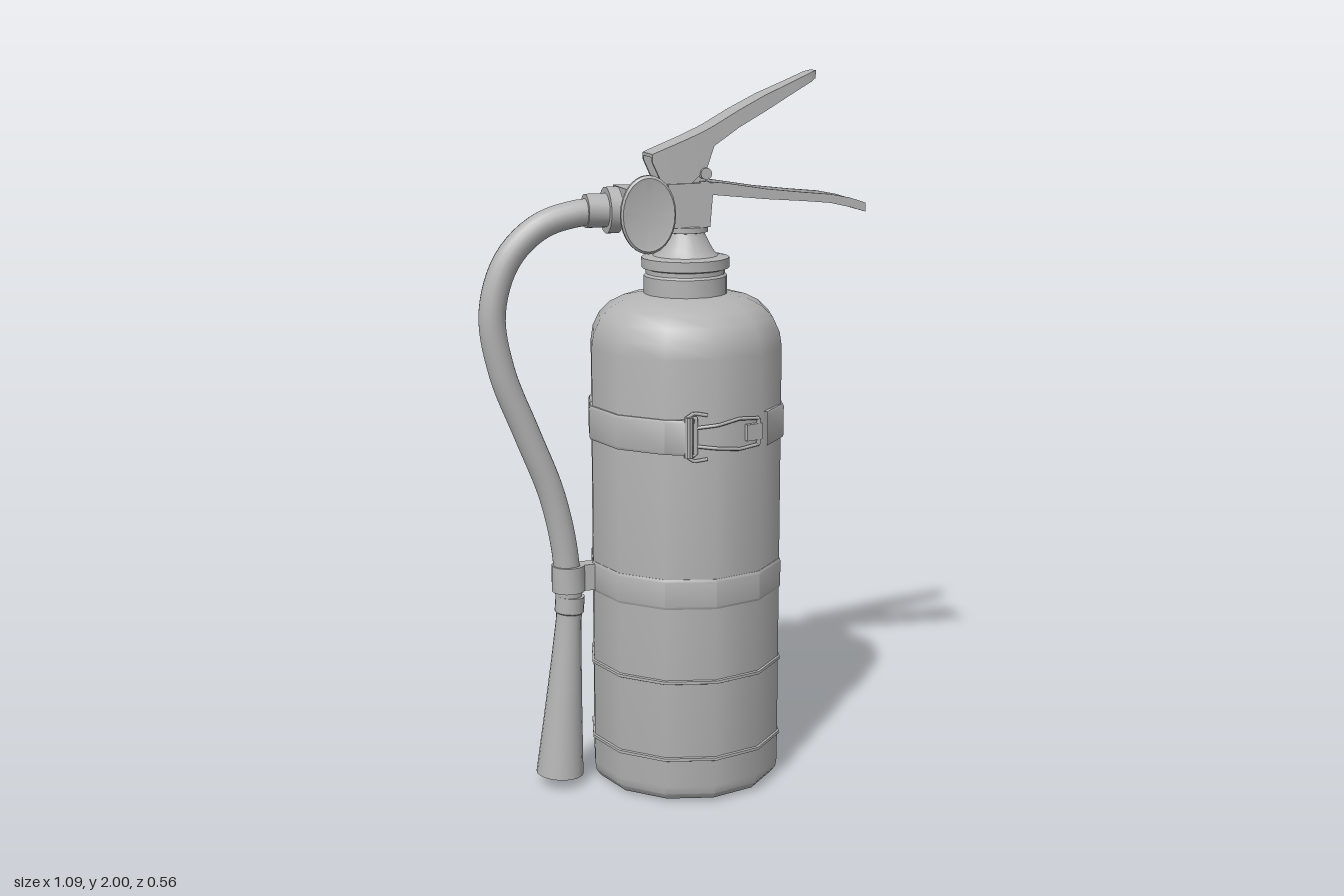
import * as THREE from 'three';
import { toCreasedNormals } from 'three/addons/utils/BufferGeometryUtils.js';

const AXIS = 0.033; // x of the tank's centre line
const SIDES = 12;
const rad = THREE.MathUtils.degToRad;

export function createModel() {
  const root = new THREE.Group();
  root.name = 'fireExtinguisher';
  const grey = new THREE.MeshStandardMaterial({ color: 0xb4b4b4 });
  grey.name = 'plain grey';

  const add = (name, geometry, x = 0, y = 0, z = 0, parent = root) => {
    const mesh = new THREE.Mesh(geometry, grey);
    mesh.name = name;
    mesh.position.set(x, y, z);
    parent.add(mesh);
    return mesh;
  };
  const crease = (g, angle = 0.62) => toCreasedNormals(g, angle);
  const lathe = (pts, sides = SIDES, start = 0, sweep = 360) => crease(new THREE.LatheGeometry(
    pts.map(([r, y]) => new THREE.Vector2(r, y)), sides, rad(start), rad(sweep)));
  const box = (w, h, d) => new THREE.BoxGeometry(w, h, d);
  const cyl = (r, h, sides = 20) => crease(new THREE.CylinderGeometry(r, r, h, sides));
  const wire = (pts, r, closed = false) => {
    const path = new THREE.CurvePath();
    const v = pts.map(p => new THREE.Vector3(...p));
    if (closed) v.push(v[0]);
    for (let i = 1; i < v.length; i++) path.add(new THREE.LineCurve3(v[i - 1], v[i]));
    return new THREE.TubeGeometry(path, (v.length - 1) * 4, r, 6);
  };

  // Pressed channel along x; stations are [x, spine y, rim y, half width]
  const channel = (stations, t) => {
    const pos = [], idx = [], n = 8;
    for (const [x, base, rim, w] of stations) {
      const s = Math.sign(base - rim), a = s * w, b = s * (w - t), inner = base - s * t;
      [[rim, -a], [base, -a], [base, a], [rim, a], [rim, b], [inner, b], [inner, -b], [rim, -b]]
        .forEach(([y, z]) => pos.push(x, y, z));
    }
    for (let i = 0; i < stations.length - 1; i++) for (let j = 0; j < n; j++) {
      const a = i * n + j, a1 = i * n + (j + 1) % n;
      idx.push(a, a1, a1 + n, a, a1 + n, a + n);
    }
    const e = (stations.length - 1) * n;
    for (const [p, q, r, s] of [[0, 1, 6, 7], [1, 2, 5, 6], [2, 3, 4, 5]]) {
      idx.push(e + p, e + q, e + r, e + p, e + r, e + s, p, r, q, p, s, r);
    }
    const g = new THREE.BufferGeometry();
    g.setAttribute('position', new THREE.Float32BufferAttribute(pos, 3));
    g.setIndex(idx);
    return crease(g, 0.5);
  };

  // Tank with rounded foot and shoulder
  add('tank', lathe([
    [0, 0.004], [0.225, 0.004], [0.252, 0.012], [0.266, 0.03], [0.27, 0.055],
    [0.27, 1.26], [0.264, 1.3], [0.245, 1.34], [0.215, 1.37], [0.175, 1.39], [0.115, 1.402],
  ]), AXIS);

  // Neck collar, cone and valve seat
  add('neck', lathe([
    [0.115, 1.39], [0.115, 1.45], [0.109, 1.456], [0.109, 1.468], [0.121, 1.472],
    [0.121, 1.5], [0.09, 1.505], [0.075, 1.522], [0.055, 1.56], [0.052, 1.568],
    [0.062, 1.57], [0.062, 1.585], [0.048, 1.588], [0.048, 1.62],
  ], 20), AXIS);

  // Straps and thin raised rings around the tank
  const strap = (r, y0, y1) => [[0.262, y0], [r - 0.003, y0], [r, y0 + 0.007],
    [r, y1 - 0.007], [r - 0.003, y1], [0.262, y1]];
  add('lowerStrap', lathe(strap(0.274, 0.57, 0.655)), AXIS);
  for (const y of [0.135, 0.36]) {
    add('tankRing', lathe([[0.266, y - 0.008], [0.275, y - 0.004], [0.275, y + 0.004], [0.266, y + 0.008]]), AXIS);
  }
  // Upper strap, open at the front for the buckle
  const upperStrap = new THREE.Group();
  upperStrap.name = 'upperStrap';
  root.add(upperStrap);
  for (const [a, b, n] of [[35, 60, 1], [60, 330, 9], [330, 342, 1]]) {
    add('strapPiece', lathe(strap(0.278, 1.005, 1.1), n, a, b - a), AXIS, 0, 0, upperStrap);
  }

  // Buckle: pull frame, link wires and catch lying on the tank front
  const buckle = new THREE.Group();
  buckle.name = 'strapBuckle';
  root.add(buckle);
  const skin = x => 0.278 - Math.abs(x - AXIS) * 0.268;
  const on = (x, y) => [x, y, skin(x)];
  add('pullFrame', wire([on(-0.05, 1.0), on(-0.025, 1.0), on(-0.025, 1.105), on(-0.05, 1.105)], 0.006, true), 0, 0, 0, buckle);
  add('frameRoller', cyl(0.012, 0.11, 10), -0.045, 1.053, 0.262, buckle);
  for (const s of [-1, 1]) {
    add('frameArm', wire([on(-0.05, 1.053 + s * 0.052), on(-0.03, 1.053 + s * 0.066), on(0.005, 1.053 + s * 0.06)], 0.005), 0, 0, 0, buckle);
    add('linkWire', wire([on(-0.025, 1.053 + s * 0.025), on(0.033, 1.053 + s * 0.032),
      on(0.1, 1.053 + s * 0.042), on(0.16, 1.053 + s * 0.036)], 0.005), 0, 0, 0, buckle);
  }
  add('catchBar', wire([on(0.16, 1.017), on(0.16, 1.089)], 0.006), 0, 0, 0, buckle);
  const plate = add('catchPlate', box(0.05, 0.045, 0.012), 0.145, 1.053, skin(0.145), buckle);
  plate.rotation.y = 0.262;

  // Valve block, with a flared outlet towards the hose
  const taper = box(0.11, 0.12, 0.11);
  const tp = taper.attributes.position;
  for (let i = 0; i < tp.count; i++) if (tp.getY(i) > 0) tp.setX(i, tp.getX(i) * 1.18);
  taper.computeVertexNormals();
  add('valveBody', taper, 0.032, 1.645, -0.003);
  const flare = new THREE.Shape([[-0.15, -0.075], [-0.07, -0.052], [-0.02, -0.052],
    [-0.02, 0.052], [-0.07, 0.052], [-0.15, 0.075]].map(p => new THREE.Vector2(...p)));
  const flareGeo = new THREE.ExtrudeGeometry(flare, { depth: 0.1, bevelEnabled: false });
  flareGeo.rotateX(-Math.PI / 2);
  add('valveOutlet', flareGeo, 0, 1.595, -0.003);
  add('leverMount', box(0.115, 0.1, 0.062), 0.022, 1.74, 0);
  add('pivotPin', cyl(0.016, 0.108, 12), 0.075, 1.73, 0).rotation.x = Math.PI / 2;

  // Levers
  add('upperLever', channel([
    [-0.075, 1.785, 1.765, 0.043], [-0.045, 1.797, 1.7, 0.045], [0.03, 1.826, 1.7, 0.046],
    [0.08, 1.848, 1.745, 0.046], [0.1, 1.858, 1.803, 0.045], [0.17, 1.897, 1.85, 0.044],
    [0.25, 1.937, 1.893, 0.04], [0.33, 1.97, 1.938, 0.034], [0.385, 1.994, 1.968, 0.029],
    [0.402, 1.999, 1.978, 0.02],
  ], 0.009), 0, 0, 0);
  add('lowerLever', channel([
    [0.06, 1.676, 1.71, 0.052], [0.13, 1.668, 1.703, 0.052], [0.25, 1.655, 1.683, 0.052],
    [0.36, 1.646, 1.67, 0.052], [0.44, 1.638, 1.662, 0.052], [0.5, 1.624, 1.65, 0.052],
    [0.546, 1.61, 1.635, 0.052],
  ], 0.009), 0, 0, -0.003);

  // Pressure gauge, an oval disc on a short stem
  const gauge = new THREE.Group();
  gauge.name = 'pressureGauge';
  gauge.position.set(-0.107, 1.632, 0.1);
  gauge.rotation.y = -0.06;
  root.add(gauge);
  const dial = add('gaugeDial', lathe([[0, -0.022], [0.07, -0.022], [0.097, -0.012], [0.105, 0],
    [0.105, 0.012], [0.098, 0.018], [0.09, 0.016], [0, 0.02]], 28), 0, 0, 0, gauge);
  dial.rotation.x = Math.PI / 2;
  dial.scale.x = 0.72;
  add('gaugeStem', cyl(0.022, 0.06, 12), 0.02, 0, -0.04, gauge).rotation.x = Math.PI / 2;

  // Hose coupling and hose
  const collar = (name, r, x0, x1) => {
    add(name, cyl(r, x1 - x0), (x0 + x1) / 2, 1.635, -0.005).rotation.z = Math.PI / 2;
  };
  collar('couplingNut', 0.063, -0.193, -0.16);
  collar('couplingNeck', 0.04, -0.165, -0.14);
  collar('hoseFerrule', 0.046, -0.25, -0.19);
  const path = new THREE.CatmullRomCurve3([
    [-0.2, 1.633], [-0.28, 1.628], [-0.38, 1.596], [-0.468, 1.51], [-0.511, 1.37], [-0.488, 1.21],
    [-0.42, 1.03], [-0.355, 0.86], [-0.32, 0.7], [-0.307, 0.52],
  ].map(([x, y]) => new THREE.Vector3(x, y, -0.005)));
  add('hose', new THREE.TubeGeometry(path, 56, 0.037, 16));

  // Discharge horn, hollow at the mouth
  const horn = add('horn', lathe([
    [0, -0.35], [0.035, -0.36], [0.057, -0.505], [0.067, -0.505], [0.054, -0.33], [0.043, -0.17],
    [0.036, -0.05], [0.036, -0.03], [0.041, -0.026], [0.041, 0.02], [0, 0.024],
  ], 20), -0.306, 0.54, -0.005);
  horn.rotation.z = -0.069;

  // Clip holding the hose to the lower strap
  add('hoseClip', lathe([[0.036, 0.575], [0.047, 0.575], [0.047, 0.65], [0.036, 0.65]], 16), -0.309, 0, -0.005);
  add('clipArm', box(0.07, 0.075, 0.04), -0.245, 0.6125, -0.005);

  return root;
}
